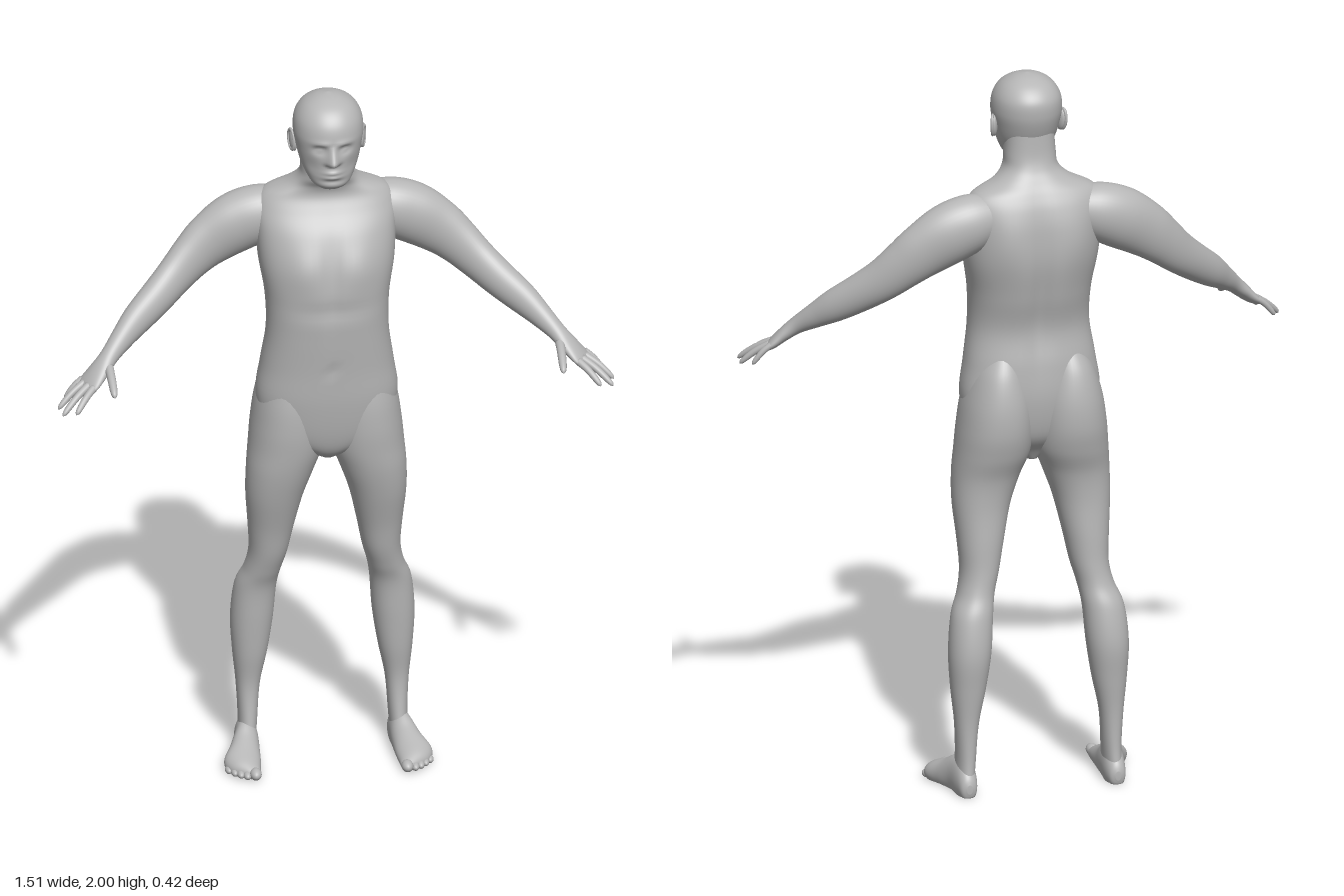
import * as THREE from 'three';

const skin = new THREE.MeshStandardMaterial({ color: 0xb6b6b6 });
skin.name = 'plain grey';

const UP = new THREE.Vector3(0, 1, 0);
const FRONT = new THREE.Vector3(0, 0, 1);
const bump = (d, w) => Math.exp(-((d / w) ** 2));
const step = THREE.MathUtils.smoothstep;

// Smooth value row at position u along a list of rows
function sampleRows(rows, u) {
  const i = Math.min(Math.floor(u), rows.length - 2), f = u - i;
  const at = k => rows[THREE.MathUtils.clamp(k, 0, rows.length - 1)];
  const [p, q, r, s] = [at(i - 1), at(i), at(i + 1), at(i + 2)];
  return q.map((_, k) => q[k] + 0.5 * f * (r[k] - p[k]
    + f * (2 * p[k] - 5 * q[k] + 4 * r[k] - s[k] + f * (3 * (q[k] - r[k]) + s[k] - p[k]))));
}

// Skin over cross-sections [x, y, z, radiusA, radiusB]; dir fixes the section normal
function loft(rows, { ref = UP, dir = null, sides = 40, steps = 6, power = 2, sculpt = null } = {}) {
  const rings = (rows.length - 1) * steps, pos = [], index = [];
  const centre = u => new THREE.Vector3(...sampleRows(rows, u).slice(0, 3));
  const put = v => { if (sculpt) sculpt(v); pos.push(v.x, v.y, v.z); };
  const round = c => Math.sign(c) * Math.abs(c) ** (2 / power);
  for (let i = 0; i <= rings; i++) {
    const u = i / steps, row = sampleRows(rows, u), c = centre(u);
    const t = dir ? dir.clone() : centre(Math.min(u + 0.2, rows.length - 1))
      .sub(centre(Math.max(u - 0.2, 0))).normalize();
    const a = new THREE.Vector3().crossVectors(ref, t).normalize();
    const b = new THREE.Vector3().crossVectors(t, a);
    for (let j = 0; j < sides; j++) {
      const w = j / sides * Math.PI * 2;
      put(c.clone().addScaledVector(a, row[3] * round(Math.cos(w)))
        .addScaledVector(b, row[4] * round(Math.sin(w))));
    }
  }
  put(centre(0));
  put(centre(rows.length - 1));
  const first = (rings + 1) * sides, top = rings * sides;
  for (let j = 0; j < sides; j++) {
    const k = (j + 1) % sides;
    for (let i = 0; i < rings; i++) {
      const p = i * sides, q = p + sides;
      index.push(p + j, p + k, q + k, p + j, q + k, q + j);
    }
    index.push(first, k, j, first + 1, top + j, top + k);
  }
  const geo = new THREE.BufferGeometry();
  geo.setAttribute('position', new THREE.Float32BufferAttribute(pos, 3));
  geo.setIndex(index);
  geo.computeVertexNormals();
  return geo;
}

// Upright loft from rows [y, xMin, xMax, zFront, zBack], lowest first
const upright = (rows, options) => loft(
  rows.map(([y, l, r, f, b]) => [(l + r) / 2, y, (f + b) / 2, (r - l) / 2, (f - b) / 2]),
  { ref: FRONT, dir: UP, ...options });
const symmetric = rows => rows.map(([y, w, f, b]) => [y, -w, w, f, b]);

function ellipsoid(x, y, z, rx, ry, rz) {
  return new THREE.SphereGeometry(1, 20, 14).scale(rx, ry, rz).translate(x, y, z);
}

function mirrored(geo) {
  const g = geo.clone(), idx = g.index.array;
  g.scale(-1, 1, 1);
  for (let i = 0; i < idx.length; i += 3) [idx[i], idx[i + 1]] = [idx[i + 1], idx[i]];
  g.computeVertexNormals();
  return g;
}

// Chest, belly and spine relief
function sculptTorso(v) {
  const x = Math.abs(v.x);
  if (v.z > -0.06) {
    v.z += 0.010 * bump(x - 0.075, 0.05) * bump(v.y - 1.51, 0.06);
    v.z -= 0.007 * bump(x, 0.018) * bump(v.y - 1.48, 0.13);
    v.z -= 0.006 * bump(x, 0.1) * bump(v.y - 1.39, 0.025);
    v.z -= 0.006 * bump(x, 0.012) * bump(v.y - 1.21, 0.015);
  } else {
    v.z += 0.016 * bump(x, 0.028) * bump(v.y - 1.4, 0.22);
    v.z -= 0.008 * bump(x - 0.1, 0.05) * bump(v.y - 1.57, 0.08);
  }
}

// Brow, eye sockets, nose, lips and chin
function sculptHead(v) {
  if (v.z < 0) return;
  const x = Math.abs(v.x), y = v.y;
  const nose = Math.max(0, Math.min(1, (1.89 - y) / 0.048)) * step(y, 1.824, 1.838);
  v.z += 0.029 * nose * bump(x, 0.010 + 0.006 * nose);
  v.z -= 0.013 * bump(x - 0.034, 0.017) * bump(y - 1.874, 0.012);
  v.z += 0.007 * bump(x - 0.034, 0.010) * bump(y - 1.872, 0.006);
  v.z += 0.004 * bump(x - 0.03, 0.025) * bump(y - 1.893, 0.008);
  v.z += 0.006 * bump(x, 0.022) * (bump(y - 1.807, 0.006) + bump(y - 1.793, 0.006));
  v.z -= 0.004 * bump(x, 0.03) * bump(y - 1.78, 0.007);
  v.z -= 0.005 * bump(x - 0.055, 0.02) * bump(y - 1.82, 0.025);
}

export function createModel() {
  const model = new THREE.Group();
  model.name = 'humanFigure';
  const add = (name, geo) => {
    const mesh = new THREE.Mesh(geo, skin);
    mesh.name = name;
    model.add(mesh);
  };
  const addPair = (name, geo) => {
    add('left' + name, geo);
    add('right' + name, mirrored(geo));
  };

  // Torso and neck: y, half width, front, back
  add('torso', upright(symmetric([
    [0.915, 0.02, -0.02, -0.1], [0.945, 0.07, 0.02, -0.12], [1.0, 0.165, 0.042, -0.16],
    [1.1, 0.192, 0.058, -0.18], [1.2, 0.18, 0.065, -0.178], [1.3, 0.166, 0.074, -0.167],
    [1.4, 0.168, 0.08, -0.19], [1.5, 0.184, 0.068, -0.207], [1.59, 0.19, 0.036, -0.203],
    [1.65, 0.19, -0.003, -0.19], [1.69, 0.168, -0.024, -0.172], [1.72, 0.105, -0.02, -0.153],
    [1.75, 0.075, 0, -0.136], [1.79, 0.07, 0.004, -0.125], [1.86, 0.065, 0, -0.12],
  ]), { sides: 72, power: 2.3, sculpt: sculptTorso }));

  // Head
  add('head', upright(symmetric([
    [1.748, 0.03, 0.05, -0.005], [1.764, 0.052, 0.071, -0.045], [1.79, 0.068, 0.076, -0.085],
    [1.82, 0.08, 0.077, -0.11], [1.86, 0.089, 0.079, -0.128], [1.9, 0.095, 0.08, -0.138],
    [1.94, 0.09, 0.07, -0.136], [1.972, 0.07, 0.044, -0.112], [1.992, 0.038, 0.005, -0.075],
    [2.0, 0.003, -0.032, -0.038],
  ]), { sides: 96, steps: 8, power: 2.1, sculpt: sculptHead }));

  // Ears
  addPair('Ear', ellipsoid(0, 0, 0, 0.009, 0.031, 0.018).rotateX(-0.15).rotateY(-0.35)
    .translate(0.093, 1.858, -0.042));
  addPair('EarRim', new THREE.TorusGeometry(0.02, 0.004, 8, 24).rotateY(Math.PI / 2)
    .scale(1, 1.4, 0.85).rotateX(-0.15).rotateY(-0.35).translate(0.098, 1.86, -0.043));

  // Legs: y, inner, outer, front, back; the top forms the buttocks
  addPair('Leg', upright([
    [0.03, 0.183, 0.233, -0.085, -0.2], [0.1, 0.178, 0.23, -0.1, -0.194],
    [0.2, 0.17, 0.235, -0.11, -0.195], [0.3, 0.15, 0.245, -0.096, -0.205],
    [0.4, 0.135, 0.25, -0.086, -0.214], [0.5, 0.127, 0.24, -0.077, -0.2],
    [0.56, 0.117, 0.217, -0.058, -0.178], [0.62, 0.101, 0.206, -0.039, -0.169],
    [0.7, 0.085, 0.21, -0.02, -0.165], [0.8, 0.062, 0.218, 0.01, -0.16],
    [0.88, 0.034, 0.217, 0.03, -0.167], [0.95, 0.008, 0.211, 0.041, -0.19],
    [1.02, 0.002, 0.204, 0.047, -0.205], [1.1, 0.008, 0.191, 0.045, -0.204],
    [1.18, 0.03, 0.165, 0.03, -0.185], [1.24, 0.05, 0.13, 0, -0.15],
  ], { sides: 48, power: 2.15 }));

  // Feet: heel to ball, flattened on the ground
  addPair('Foot', loft([
    [0.208, 0.025, -0.208, 0.008, 0.012], [0.208, 0.025, -0.198, 0.022, 0.035],
    [0.208, 0.035, -0.165, 0.03, 0.06], [0.212, 0.04, -0.115, 0.034, 0.06],
    [0.222, 0.03, -0.07, 0.042, 0.047], [0.233, 0.022, -0.025, 0.05, 0.036],
    [0.229, 0.015, 0.012, 0.041, 0.028], [0.217, 0.012, 0.036, 0.025, 0.018],
    [0.212, 0.012, 0.05, 0.006, 0.008],
  ], { dir: FRONT, sculpt: v => { v.y = Math.max(v.y, 0); } }));
  [[0.206, 0.047, 0.016], [0.228, 0.042, 0.011], [0.244, 0.031, 0.0105],
    [0.259, 0.016, 0.010], [0.273, -0.002, 0.0105]].forEach(([x, z, r], i) =>
    addPair('Toe' + (i + 1), ellipsoid(x, r, z, r, r, r + 0.008)));

  // Arms: shoulder to knuckles
  addPair('Arm', loft([
    [0.10, 1.63, -0.115, 0.05, 0.055], [0.17, 1.615, -0.115, 0.068, 0.079],
    [0.24, 1.588, -0.115, 0.066, 0.085], [0.31, 1.545, -0.108, 0.054, 0.076],
    [0.36, 1.505, -0.095, 0.047, 0.066], [0.41, 1.46, -0.072, 0.043, 0.058],
    [0.465, 1.415, -0.036, 0.042, 0.052], [0.525, 1.37, 0.005, 0.037, 0.045],
    [0.57, 1.333, 0.042, 0.03, 0.034], [0.61, 1.298, 0.078, 0.026, 0.024],
    [0.64, 1.268, 0.1, 0.034, 0.019], [0.668, 1.24, 0.115, 0.041, 0.014],
    [0.683, 1.227, 0.122, 0.032, 0.007],
  ]));

  // Fingers: base, tip, radius
  const fingers = {
    Thumb: [[0.613, 1.28, 0.105], [0.61, 1.237, 0.21], 0.012],
    IndexFinger: [[0.658, 1.238, 0.14], [0.713, 1.188, 0.2], 0.0098],
    MiddleFinger: [[0.67, 1.24, 0.126], [0.748, 1.18, 0.185], 0.0098],
    RingFinger: [[0.68, 1.24, 0.106], [0.755, 1.18, 0.14], 0.0095],
    LittleFinger: [[0.682, 1.243, 0.087], [0.732, 1.19, 0.094], 0.0085],
  };
  for (const [name, [base, tip, r]] of Object.entries(fingers)) {
    const rows = [[0, 1.1], [0.3, 1], [0.55, 0.95], [0.8, 0.85], [0.94, 0.6], [1, 0.1]].map(([f, k]) => {
      const p = base.map((b, i) => b + (tip[i] - b) * f);
      p[1] += 0.006 * Math.sin(f * Math.PI);
      return [...p, r * k, r * k];
    });
    addPair(name, loft(rows, { sides: 16, steps: 4 }));
  }
  return model;
}
